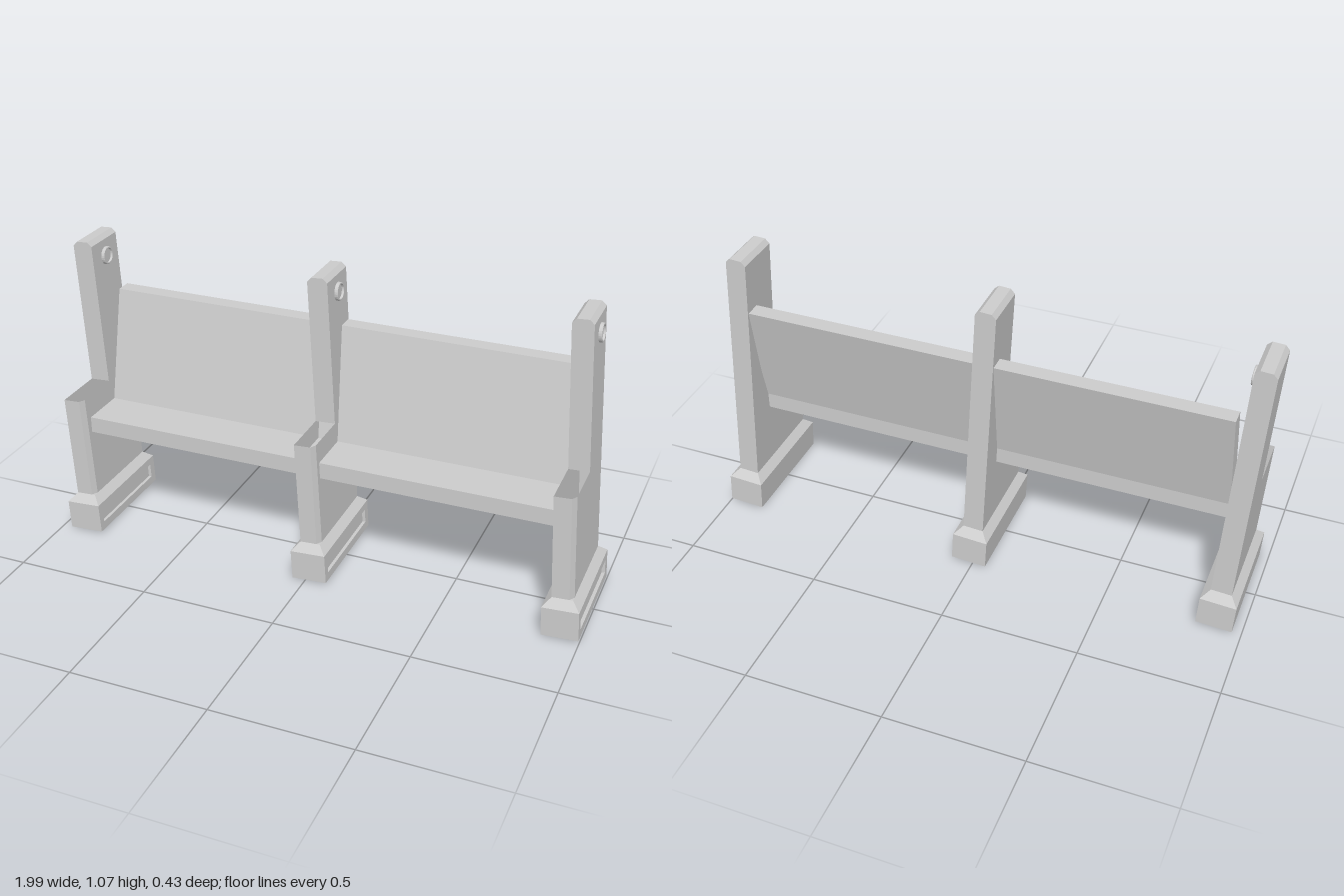
import * as THREE from 'three';

const mat = new THREE.MeshStandardMaterial({ color: 0xcccccc, flatShading: true });
const sheetMat = new THREE.MeshStandardMaterial({ color: 0xcccccc, flatShading: true, side: THREE.DoubleSide });

const TILT = 0.056;   // every support leans towards -x
const HALF = 0.037;   // half thickness of a post
const BASE = 0.065;   // half width of a base

function add(parent, name, geometry, material = mat) {
  const mesh = new THREE.Mesh(geometry, material);
  mesh.name = name;
  parent.add(mesh);
  return mesh;
}

const toShape = (pts) => new THREE.Shape(pts.map(([x, y]) => new THREE.Vector2(x, y)));

// Extrudes a side profile given as (z, y) from xMin to xMax
function extrudeAlongX(shape, xMin, xMax) {
  const g = new THREE.ExtrudeGeometry(shape, { depth: xMax - xMin, bevelEnabled: false });
  return g.rotateY(-Math.PI / 2).translate(xMax, 0, 0);
}

// Wall between two closed loops of [x, y, z]; loops run anticlockwise seen from above
function loft(lower, upper, capped) {
  const pos = [];
  const n = lower.length;
  for (let i = 0; i < n; i++) {
    const j = (i + 1) % n;
    pos.push(...lower[i], ...lower[j], ...upper[j], ...lower[i], ...upper[j], ...upper[i]);
    if (capped && i > 0 && i < n - 1) pos.push(...upper[0], ...upper[i], ...upper[j]);
  }
  const g = new THREE.BufferGeometry();
  g.setAttribute('position', new THREE.Float32BufferAttribute(pos, 3));
  g.computeVertexNormals();
  return g;
}

const rect = (hx, y, zBack, zFront) =>
  [[-hx, y, zFront], [hx, y, zFront], [hx, y, zBack], [-hx, y, zBack]];

function createSupport() {
  const support = new THREE.Group();
  support.name = 'support';

  // Base: core block plus an outer plate with a recessed panel
  const core = new THREE.BoxGeometry(2 * BASE - 0.012, 0.11, 0.428);
  add(support, 'baseBlock', core.translate(-0.006, 0.055, 0.001));
  const plate = toShape([[-0.213, 0], [0.215, 0], [0.215, 0.11], [-0.213, 0.11]]);
  plate.holes.push(toShape([[-0.184, 0.03], [-0.184, 0.083], [0.189, 0.083], [0.189, 0.03]]));
  add(support, 'basePanelFrame', extrudeAlongX(plate, BASE - 0.012, BASE));
  add(support, 'baseBevel',
    loft(rect(BASE, 0.11, -0.213, 0.215), rect(HALF, 0.138, -0.183, 0.185), true));

  // Lower post and armrest: hollow, open above the arm, one chamfered corner
  const outline = [[-HALF, 0.185], [HALF - 0.013, 0.185], [HALF, 0.165], [HALF, -0.183], [-HALF, -0.183]];
  const ring = (y) => outline.map(([x, z]) => [x, y, z]);
  add(support, 'armrest', loft(ring(0.138), ring(0.525), false), sheetMat);

  // Upper post with chamfered top
  const post = toShape([[-HALF, 0.525], [HALF, 0.525], [HALF, 1.054], [HALF - 0.016, 1.07],
    [-HALF + 0.016, 1.07], [-HALF, 1.054]]);
  const postGeo = new THREE.ExtrudeGeometry(post, { depth: 0.173, bevelEnabled: false });
  add(support, 'upperPost', postGeo.translate(0, 0, -0.183));

  // Round rimmed disc on the outer face
  const profile = [[0.033, 0], [0.033, 0.01], [0.031, 0.012], [0.027, 0.012], [0.026, 0.004], [0, 0.004]];
  const disc = new THREE.LatheGeometry(profile.map(([r, y]) => new THREE.Vector2(r, y)), 24);
  add(support, 'roundel', disc.rotateZ(-Math.PI / 2).translate(HALF, 0.993, -0.1));

  support.rotation.z = TILT;
  return support;
}

export function createModel() {
  const model = new THREE.Group();
  model.name = 'bench';

  // Three identical leaning supports
  ['rightSupport', 'middleSupport', 'leftSupport'].forEach((name, i) => {
    const support = createSupport();
    support.name = name;
    support.position.set(-0.901 + i * 0.9165, BASE * Math.sin(TILT), 0);
    model.add(support);
  });

  // Seat and reclined backrest as one profile
  const profile = toShape([[0.147, 0.392], [0.147, 0.452], [-0.025, 0.452], [-0.12, 0.862],
    [-0.179, 0.862], [-0.085, 0.452], [-0.085, 0.392]]);
  add(model, 'seatAndBackrest', extrudeAlongX(profile, -0.885, 0.863));

  return model;
}
